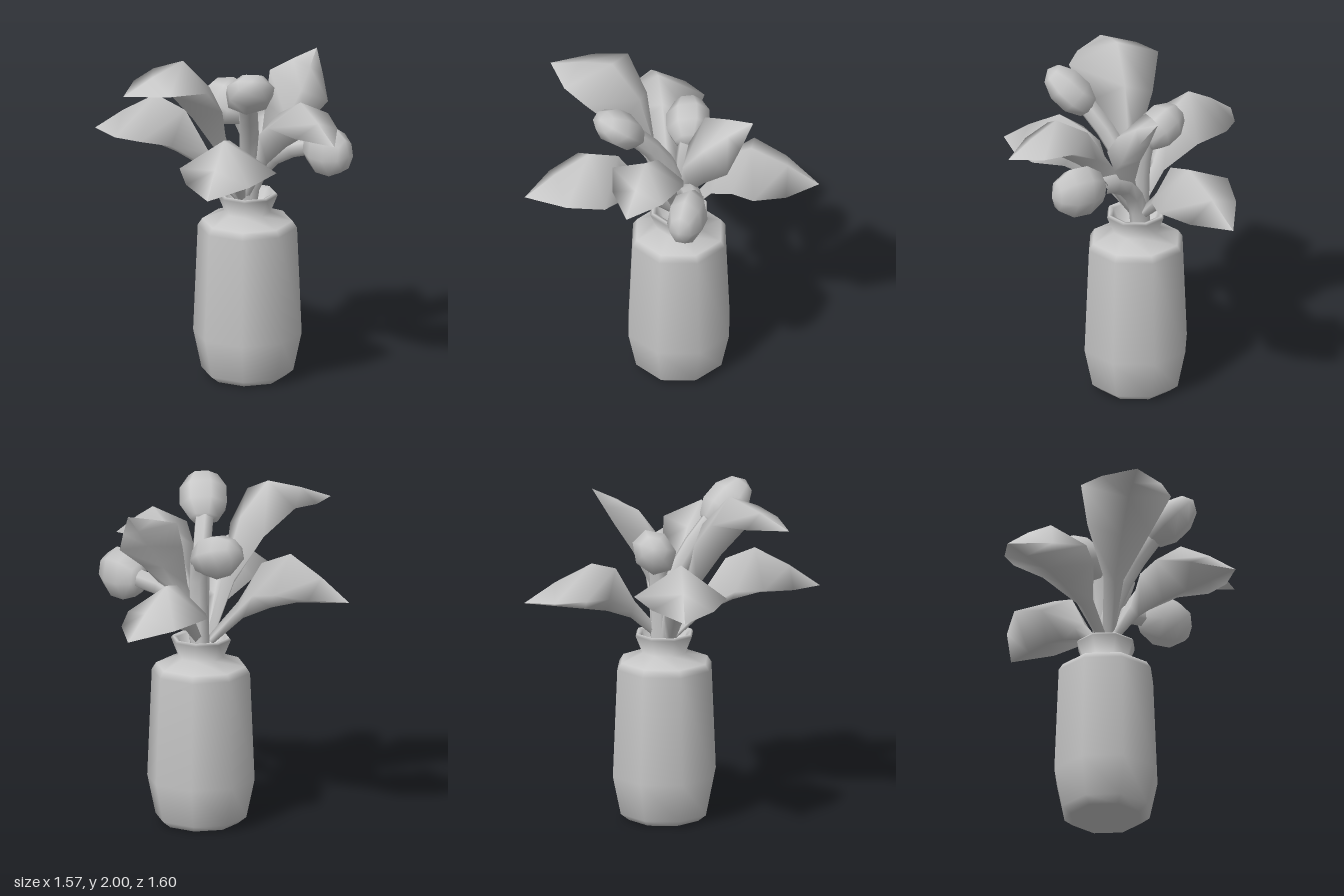
import * as THREE from 'three';

const grey = new THREE.MeshStandardMaterial({ color: 0xc8c8c8 });
grey.name = 'grey clay';

const V = (a) => new THREE.Vector3(...a);

function add(group, geometry, name) {
  const mesh = new THREE.Mesh(geometry, grey);
  mesh.name = name;
  group.add(mesh);
  return mesh;
}

// Fleshy leaf: closed cross-sections (left edge, ridge, right edge, keel) from stalk to tip
function leafGeometry({ base, peak, tip, left, right, bulge = 0.045 }) {
  const [b, p, t, l, r] = [base, peak, tip, left, right].map(V);
  const middle = l.clone().lerp(r, 0.5);
  const half = l.distanceTo(r) / 2;
  const across = r.clone().sub(l).normalize();
  const up = across.clone().cross(t.clone().sub(b)).normalize();

  const between = (a, c, k, dir, amount) => a.clone().lerp(c, k).addScaledVector(dir, amount);
  const diamond = (c, width, height, ridge) => [
    between(c, c, 0, across, -width), ridge ?? between(c, c, 0, up, height),
    between(c, c, 0, across, width), between(c, c, 0, up, -height),
  ];
  const keel = between(middle, middle, 0, up, -0.1);
  const sections = [
    diamond(b, 0.03, 0.03),
    diamond(between(b, middle, 0.4, up, 0.05), 0.06, 0.05),
    diamond(between(b, middle, 0.72, up, 0.07), half * 0.7, 0.11, between(b, p, 0.7, up, 0.1)),
    [l, p, r, keel],
    [between(l, t, 0.5, across, -bulge), between(p, t, 0.55, up, 0.02),
      between(r, t, 0.5, across, bulge), between(keel, t, 0.5, up, 0)],
    [t, t, t, t],
  ];
  const index = [];
  for (let i = 0; i < sections.length - 1; i++) {
    for (let j = 0; j < 4; j++) {
      const a = i * 4 + j, c = i * 4 + (j + 1) % 4;
      index.push(a, c, a + 4);
      if (i < sections.length - 2) index.push(c, c + 4, a + 4);
    }
  }
  const g = new THREE.BufferGeometry().setFromPoints(sections.flat());
  g.setIndex(index);
  g.computeVertexNormals();
  return g;
}

export function createModel() {
  const model = new THREE.Group();
  model.name = 'vaseWithPlant';

  // Eight-sided vase with a flared lip and a shallow mouth
  const profile = [
    [0, 0], [0.217, 0], [0.268, 0.04], [0.317, 0.27], [0.29, 0.91], [0.264, 0.95],
    [0.134, 1.0], [0.177, 1.105], [0.166, 1.12], [0.14, 1.11], [0.1, 1.02], [0, 1.01],
  ].map(([x, y]) => new THREE.Vector2(x, y));
  const vase = add(model, new THREE.LatheGeometry(profile, 8), 'vase');
  vase.position.set(-0.012, 0, -0.053);

  // Broad drooping leaves around the plant, the last one upright at the back
  const leaves = {
    frontRightLeaf: { base: [-0.04, 1.1, 0], peak: [-0.46, 1.67, 0.27], tip: [-0.79, 1.42, 0.455], left: [-0.32, 1.46, 0.5], right: [-0.61, 1.49, 0.04] },
    frontLeaf: { base: [-0.02, 1.1, 0], peak: [-0.06, 2.0, 0.39], tip: [-0.11, 1.85, 0.8], left: [0.22, 1.88, 0.44], right: [-0.32, 1.89, 0.4] },
    frontLeftLeaf: { base: [-0.01, 1.1, 0], peak: [0.3, 1.6, 0.38], tip: [0.53, 1.35, 0.69], left: [0.54, 1.42, 0.18], right: [0.09, 1.41, 0.54] },
    leftLeaf: { base: [0, 1.12, -0.04], peak: [0.48, 1.79, -0.05], tip: [0.78, 1.59, -0.06], left: [0.45, 1.67, -0.28], right: [0.45, 1.67, 0.17] },
    backLeaf: { base: [-0.03, 1.1, -0.08], peak: [-0.2, 1.53, -0.43], tip: [-0.34, 1.28, -0.8], left: [-0.48, 1.38, -0.33], right: [0.03, 1.34, -0.54] },
    uprightLeaf: { base: [-0.01, 1.15, -0.07], peak: [0.19, 1.74, -0.29], tip: [0.03, 1.91, -0.54], left: [-0.01, 1.83, -0.22], right: [0.23, 1.65, -0.46], bulge: 0.005 },
  };
  for (const [name, shape] of Object.entries(leaves)) add(model, leafGeometry(shape), name);

  // Slightly flattened buds on bent stems; size is length, width, thickness, and flat is the thin direction
  const buds = [
    { name: 'upperBud', at: [0.305, 1.845, 0.19], axis: [0.6, 0.65, 0.4], flat: [-0.6, 0.7, -0.3], size: [0.18, 0.15, 0.11], bend: [-0.02, 1.42, -0.08] },
    { name: 'rightBud', at: [-0.165, 1.635, -0.045], axis: [-0.8, 0.35, 0.35], flat: [0.4, 0.6, 0.5], size: [0.165, 0.145, 0.125], bend: [-0.01, 1.45, -0.08] },
    { name: 'backLeftBud', at: [0.43, 1.435, -0.295], axis: [0.98, 0, -0.1], flat: [0.1, 0, 1], size: [0.175, 0.16, 0.115], bend: [-0.02, 1.38, -0.08] },
  ];
  for (const { name, at, axis, flat, size, bend } of buds) {
    const along = V(axis).normalize();
    const wide = along.clone().cross(V(flat)).normalize();
    const thin = wide.clone().cross(along);
    const bud = add(model, new THREE.SphereGeometry(1, 7, 5), name);
    bud.scale.set(size[1], size[0], size[2]);
    bud.position.set(...at);
    bud.quaternion.setFromRotationMatrix(new THREE.Matrix4().makeBasis(wide, along, thin));

    const end = V(at).addScaledVector(along, -size[0] * 0.8);
    const path = new THREE.QuadraticBezierCurve3(V([-0.035, 1.02, -0.07]), V(bend), end);
    add(model, new THREE.TubeGeometry(path, 5, 0.058, 6), name + 'Stem');
  }
  return model;
}
